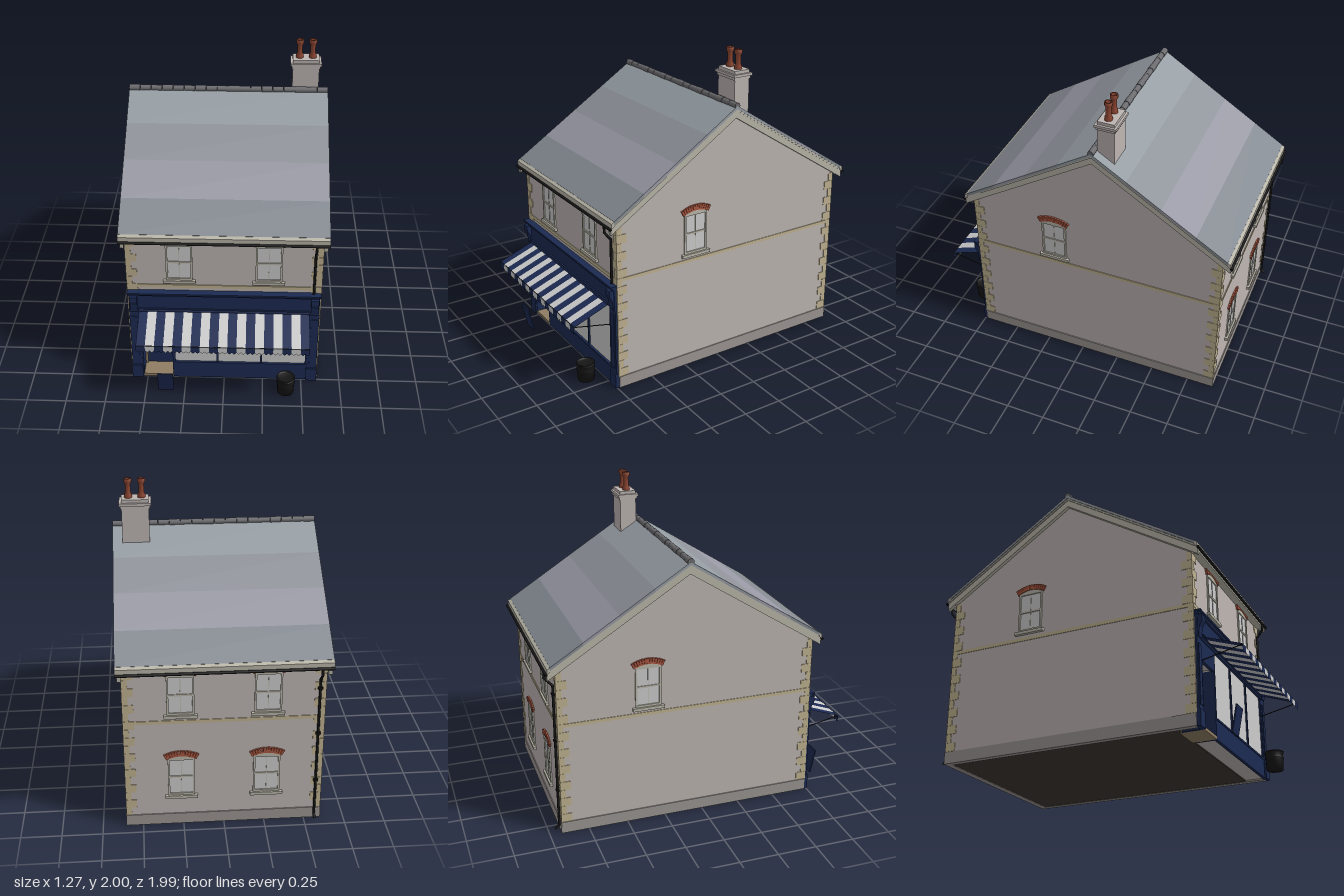
import * as THREE from 'three';

const mat = (color, opts = {}) => new THREE.MeshStandardMaterial({ color, ...opts });
const M = {
  wall: mat(0xbdb5b2), plinth: mat(0x9b9592), stone: mat(0xbfb290), trim: mat(0xb9b6a8),
  navy: mat(0x1c2a52), navyCloth: mat(0x1c2a52, { side: THREE.DoubleSide }),
  paleCloth: mat(0xcccccc, { side: THREE.DoubleSide }), glass: mat(0xcccccc),
  black: mat(0x151515), brick: mat(0xa8553f), pot: mat(0x8a4430), tan: mat(0x8f7d62),
  floor: mat(0x3d362f), ridge: mat(0x6c6c70),
};
const SLATES = [0x858b92, 0x9899a4, 0x8f939a, 0x959da3].map((c) => mat(c));

// Overall layout of the house
const HX = 0.6, ZF = 0.735, ZB = -0.92, RZ = -0.095, RY = 1.685, EY = 1.125;
const EAVES = { front: 0.785, back: -0.975 };

function add(parent, name, geometry, material) {
  const mesh = new THREE.Mesh(geometry, material);
  mesh.name = name;
  parent.add(mesh);
  return mesh;
}

// Box given by its limits
function box(parent, name, material, x0, x1, y0, y1, z0, z1) {
  const m = add(parent, name, new THREE.BoxGeometry(x1 - x0, y1 - y0, z1 - z0), material);
  m.position.set((x0 + x1) / 2, (y0 + y1) / 2, (z0 + z1) / 2);
  return m;
}

// Side profile of [z, y] points, run along x
function prism(parent, name, material, pts, x0, x1) {
  const shape = new THREE.Shape(pts.map(([z, y]) => new THREE.Vector2(-z, y)));
  const geo = new THREE.ExtrudeGeometry(shape, { depth: x1 - x0, bevelEnabled: false });
  return add(parent, name, geo.rotateY(Math.PI / 2).translate(x0, 0, 0), material);
}

// Round bars joining a run of points
function rods(parent, name, material, pts, r) {
  const up = new THREE.Vector3(0, 1, 0);
  for (let i = 1; i < pts.length; i++) {
    const a = new THREE.Vector3(...pts[i - 1]), b = new THREE.Vector3(...pts[i]);
    const m = add(parent, name, new THREE.CylinderGeometry(r, r, a.distanceTo(b) + r, 10), material);
    m.position.copy(a).add(b).multiplyScalar(0.5);
    m.quaternion.setFromUnitVectors(up, b.sub(a).normalize());
  }
}

function group(parent, name) {
  const g = new THREE.Group();
  g.name = name;
  parent.add(g);
  return g;
}

// Sash window with a brick arch; origin at the sill centre, facing +z
function sashWindow(parent, x, y, z, turn) {
  const g = group(parent, 'sashWindow'), w = 0.082, h = 0.262;
  const s = new THREE.Shape();
  s.moveTo(-w, 0).lineTo(w, 0).lineTo(w, h).quadraticCurveTo(0, h + 0.04, -w, h).closePath();
  const hole = new THREE.Path();
  hole.moveTo(-w + 0.012, 0.014).lineTo(-w + 0.012, h - 0.01).lineTo(w - 0.012, h - 0.01).lineTo(w - 0.012, 0.014).closePath();
  s.holes.push(hole);
  add(g, 'windowFrame', new THREE.ExtrudeGeometry(s, { depth: 0.009, bevelEnabled: false, curveSegments: 8 }), M.trim);
  box(g, 'windowGlass', M.glass, -w + 0.01, w - 0.01, 0.01, h - 0.008, 0, 0.002);
  box(g, 'meetingRail', M.trim, -w + 0.01, w - 0.01, 0.127, 0.139, 0, 0.007);
  box(g, 'glazingBar', M.trim, -0.002, 0.002, 0.01, h - 0.01, 0, 0.005);
  box(g, 'windowSill', M.trim, -0.1, 0.1, -0.02, 0, 0, 0.02);
  const R = 0.19;
  for (let i = -6; i <= 6; i++) {
    const a = i * 0.077, r = R + 0.018;
    const b = add(g, 'archBrick', new THREE.BoxGeometry(0.0145, 0.036, 0.014), M.brick);
    b.position.set(Math.sin(a) * r, h + 0.02 - R + Math.cos(a) * r, 0.005);
    b.rotation.z = -a;
  }
  g.position.set(x, y, z);
  g.rotation.y = turn;
}

function buildWalls(root) {
  const g = group(root, 'walls');
  const gable = [[ZB, 0.01], [ZB, 1.12], [RZ, 1.645], [ZF, 1.12]];
  const plain = [...gable, [ZF, 0.01]];
  // The middle slice is notched for the shop doorway
  prism(g, 'houseBody', M.wall, plain, -HX, -0.525);
  prism(g, 'doorwayBody', M.wall, [...gable, [ZF, 0.43], [0.62, 0.43], [0.62, 0.01]], -0.525, -0.33);
  prism(g, 'houseBody', M.wall, plain, -0.33, HX);
  box(g, 'floor', M.floor, -0.57, 0.57, 0.003, 0.012, -0.89, 0.61);
  for (const s of [-1, 1]) box(g, 'plinth', M.plinth, s * 0.586 - 0.02, s * 0.586 + 0.02, 0, 0.075, ZB - 0.005, ZF);
  box(g, 'plinth', M.plinth, -HX, HX, 0, 0.075, ZB - 0.006, ZB + 0.035);
  box(g, 'beltCourse', M.stone, -HX - 0.004, HX + 0.004, 0.724, 0.746, ZB - 0.004, ZF + 0.005);

  // Corner stones, alternately long and short on each face
  for (const sx of [-1, 1]) for (const front of [true, false]) {
    for (let i = 0; i < 18; i++) {
      const lx = i % 2 ? 0.068 : 0.036, lz = i % 2 ? 0.036 : 0.068, y = 0.077 + i * 0.056, e = 0.004;
      const cx = sx * (HX + e - lx / 2), cz = front ? ZF + e - lz / 2 : ZB - e + lz / 2;
      box(g, 'quoin', M.stone, cx - lx / 2, cx + lx / 2, y, y + 0.055, cz - lz / 2, cz + lz / 2);
    }
  }
  for (const x of [-0.275, 0.275]) sashWindow(g, x, 0.785, ZF, 0);
  for (const x of [-0.26, 0.26]) for (const y of [0.785, 0.215]) sashWindow(g, x, y, ZB, Math.PI);
  sashWindow(g, HX, 0.785, 0.18, Math.PI / 2);
  sashWindow(g, -HX, 0.785, -0.355, -Math.PI / 2);
}

function buildRoof(root) {
  const g = group(root, 'roof');
  for (const [side, ez] of Object.entries(EAVES)) {
    const at = (t, drop) => [ez + (RZ - ez) * t, EY + (RY - EY) * t - drop];
    const strip = (name, m, t0, t1, top, bottom, x0, x1) =>
      prism(g, name, m, [at(t0, top), at(t1, top), at(t1, bottom), at(t0, bottom)], x0, x1);
    // Slates in courses of slightly differing grey
    SLATES.forEach((m, i) => strip('slateCourse', m, i ? i / 4 : 0.02, (i + 1) / 4, 0, 0.02, -0.635, 0.635));
    strip('eavesEdge', M.trim, 0, 0.02, 0.001, 0.03, -0.635, 0.635);
    strip('roofDeck', M.trim, 0.01, 1, 0.02, 0.032, -0.63, 0.63);
    for (const s of [-1, 1]) strip('bargeBoard', M.trim, 0, 1, 0.03, 0.078, s * 0.612 - 0.012, s * 0.612 + 0.012);
    const d = side === 'front' ? 1 : -1, wz = side === 'front' ? ZF : ZB;
    box(g, 'soffit', M.trim, -0.62, 0.62, 1.075, 1.11, Math.min(wz, ez - d * 0.004), Math.max(wz, ez - d * 0.004));
    rods(g, 'gutter', M.black, [[-0.63, 1.089, ez + d * 0.006], [0.63, 1.089, ez + d * 0.006]], 0.009);
  }
  // Half-round ridge tiles
  for (let i = 0; i < 18; i++) {
    const len = 1.27 / 18, r = i % 3 ? 0.019 : 0.021;
    const t = add(g, 'ridgeTile', new THREE.CylinderGeometry(r, r, len - 0.002, 12), M.ridge);
    t.rotation.z = Math.PI / 2;
    t.position.set(-0.635 + len * (i + 0.5), 1.685, RZ);
  }
  // Downpipes with swan necks
  rods(g, 'frontDownpipe', M.black, [[0.555, 1.085, 0.79], [0.555, 1.045, 0.79], [0.555, 0.99, 0.748], [0.555, 0.69, 0.748]], 0.008);
  rods(g, 'backDownpipe', M.black, [[-0.565, 1.085, -0.98], [-0.565, 1.045, -0.98], [-0.565, 0.99, -0.932],
    [-0.565, 0.04, -0.932], [-0.565, 0.018, -0.955]], 0.008);
  for (const y of [0.28, 0.62, 0.93]) box(g, 'pipeBracket', M.black, -0.58, -0.55, y, y + 0.012, -0.942, -0.92);
}

function buildChimney(root) {
  const g = group(root, 'chimney');
  const block = (name, w, d, y0, y1) => box(g, name, M.wall, 0.49 - w / 2, 0.49 + w / 2, y0, y1, -0.167 - d / 2, -0.167 + d / 2);
  block('chimneyStack', 0.168, 0.108, 1.5, 1.88);
  block('chimneyBand', 0.18, 0.12, 1.825, 1.843);
  block('chimneyBand', 0.196, 0.136, 1.843, 1.86);
  const profile = [[0.024, 0], [0.024, 0.018], [0.017, 0.03], [0.016, 0.085], [0.024, 0.098], [0.024, 0.12], [0.015, 0.12], [0.013, 0.04], [0, 0.04]];
  for (const x of [0.449, 0.531]) {
    const p = add(g, 'chimneyPot', new THREE.LatheGeometry(profile.map((q) => new THREE.Vector2(...q)), 16), M.pot);
    p.position.set(x, 1.88, -0.167);
  }
}

function buildShopfront(root) {
  const g = group(root, 'shopfront'), z = ZF - 0.005, N = M.navy;
  box(g, 'stallRiser', N, -0.33, 0.54, 0, 0.125, z, 0.75);
  box(g, 'shopGlass', M.glass, -0.32, 0.53, 0.125, 0.55, z, 0.74);
  for (const x of [-0.322, -0.044, 0.239, 0.528]) box(g, 'shopMullion', N, x - 0.006, x + 0.006, 0.12, 0.55, z, 0.75);
  box(g, 'windowSillRail', N, -0.32, 0.54, 0.118, 0.13, z, 0.755);
  box(g, 'fascia', N, -0.595, 0.595, 0.54, 0.685, z, 0.755);
  box(g, 'fasciaMoulding', N, -0.53, 0.53, 0.56, 0.572, z, 0.765);
  box(g, 'cornice', N, -0.598, 0.598, 0.675, 0.69, z, 0.768);
  box(g, 'corniceTop', N, -0.602, 0.602, 0.69, 0.702, z, 0.78);
  for (const s of [-1, 1]) {
    const c = s * 0.565;
    box(g, 'pilaster', N, c - 0.032, c + 0.032, 0, 0.56, z, 0.752);
    box(g, 'pilasterPanel', N, c - 0.018, c + 0.018, 0.13, 0.5, z, 0.757);
    box(g, 'pilasterBase', N, c - 0.035, c + 0.035, 0, 0.1, z, 0.76);
    prism(g, 'corbel', N, [[z, 0.54], [0.76, 0.54], [0.766, 0.6], [0.785, 0.635], [0.785, 0.672], [z, 0.675]], c - 0.024, c + 0.024);
  }
  // Recessed doorway
  box(g, 'doorHead', N, -0.535, -0.32, 0.415, 0.55, z, 0.75);
  box(g, 'doorPost', N, -0.537, -0.523, 0, 0.42, 0.62, 0.75);
  box(g, 'doorPost', N, -0.334, -0.318, 0, 0.42, 0.62, 0.75);
  box(g, 'doorStep', M.tan, -0.525, -0.33, 0, 0.02, 0.6, 0.75);
  box(g, 'doorJamb', M.tan, -0.523, -0.508, 0.02, 0.415, 0.62, 0.645);
  box(g, 'door', N, -0.508, -0.334, 0.02, 0.42, 0.615, 0.632);
  box(g, 'doorGlass', M.glass, -0.488, -0.352, 0.205, 0.388, 0.63, 0.636);
  box(g, 'doorPanel', N, -0.485, -0.355, 0.05, 0.17, 0.63, 0.638);
}

function buildAwning(root) {
  const g = group(root, 'awning'), n = 19, w = 1.066 / n, drop = 0.088, run = 0.238;
  for (let i = 0; i < n; i++) {
    const m = i % 2 ? M.paleCloth : M.navyCloth, cx = -0.533 + w * (i + 0.5);
    const cloth = add(g, 'awningStripe', new THREE.PlaneGeometry(w, Math.hypot(run, drop)), m);
    cloth.rotation.x = -Math.atan2(run, drop);
    cloth.position.set(cx, 0.468 + drop / 2, 0.76 + run / 2);
    // Hanging edge cut in points
    const s = new THREE.Shape();
    s.moveTo(-w / 2, 0).lineTo(-w / 2, -0.036);
    for (const k of [-0.25, 0, 0.25, 0.5]) s.lineTo(w * k, Math.abs(k) === 0.25 ? -0.05 : -0.036);
    s.lineTo(w / 2, 0).closePath();
    add(g, 'awningValance', new THREE.ShapeGeometry(s), m).position.set(cx, 0.468, 0.998);
  }
  rods(g, 'awningBar', M.black, [[-0.53, 0.466, 0.994], [0.53, 0.466, 0.994]], 0.004);
  rods(g, 'awningRoller', M.navy, [[-0.53, 0.56, 0.76], [0.53, 0.56, 0.76]], 0.01);
  for (const x of [-0.525, 0.525]) rods(g, 'awningArm', M.black, [[x, 0.466, 0.994], [x, 0.413, 0.75]], 0.003);
}

function buildStreetItems(root) {
  const g = group(root, 'streetItems');
  const bin = [[0, 0], [0.052, 0], [0.055, 0.07], [0.058, 0.072], [0.058, 0.08], [0.055, 0.082], [0.056, 0.108], [0.06, 0.11], [0.06, 0.117], [0.05, 0.117], [0.048, 0.105], [0, 0.105]];
  add(g, 'bin', new THREE.LatheGeometry(bin.map((p) => new THREE.Vector2(...p)), 20), M.black).position.set(0.398, 0, 0.86);
  // Leaning pavement board
  prism(g, 'pavementBoard', M.navy, [[0.868, 0], [0.902, 0.163], [0.91, 0.161], [0.876, 0]], -0.42, -0.32);
}

export function createModel() {
  const root = new THREE.Group();
  root.name = 'cornerShopHouse';
  for (const build of [buildWalls, buildRoof, buildChimney, buildShopfront, buildAwning, buildStreetItems]) build(root);
  return root;
}
